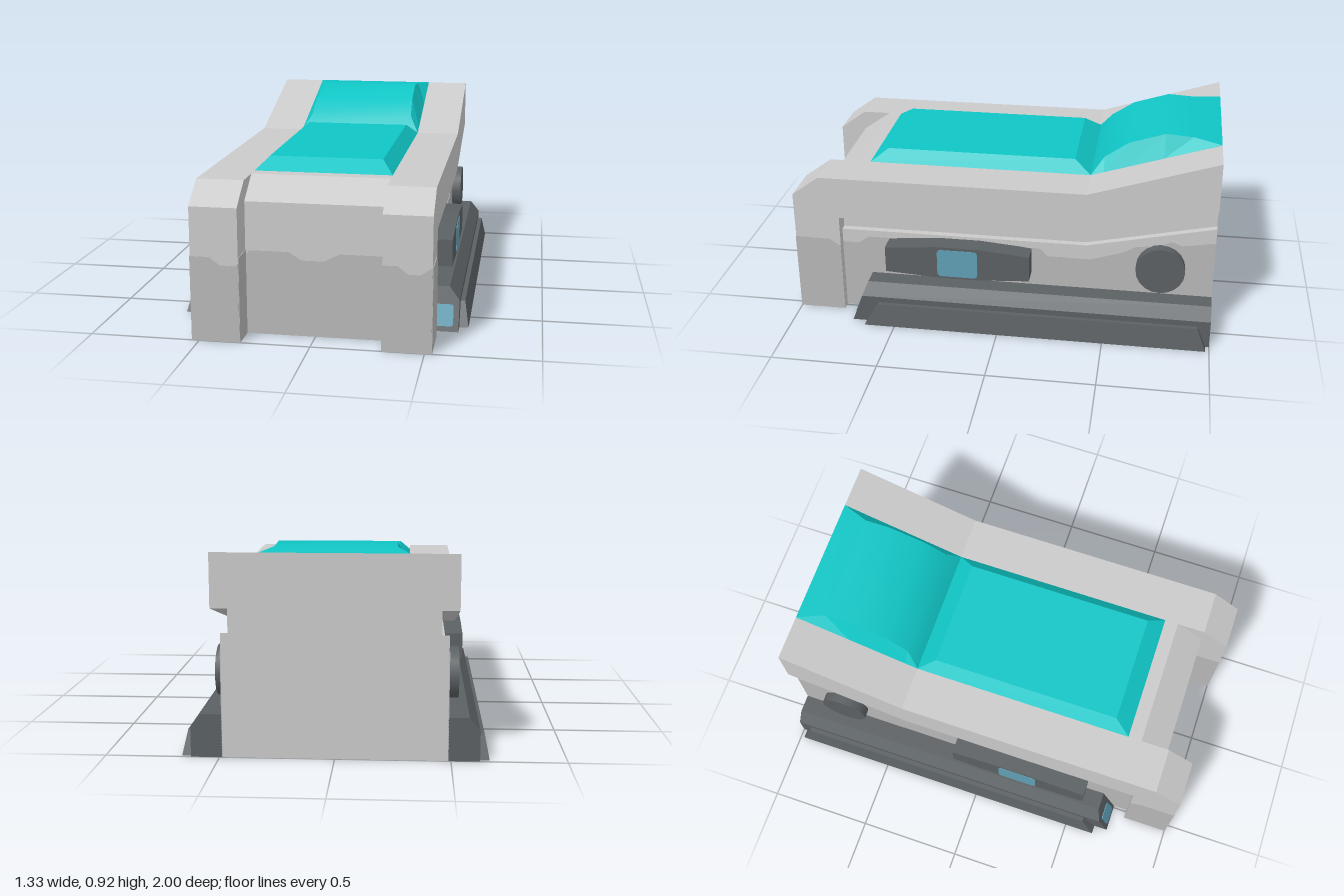
import * as THREE from 'three';

const mat = (name, color) => Object.assign(new THREE.MeshStandardMaterial({ color }), { name });

export function createModel() {
  const root = new THREE.Group();
  root.name = 'hoverCraft';
  const hull = mat('light grey hull', 0xcacaca);
  const paint = mat('mid grey paint', 0xb7b7b7);
  const metal = mat('dark metal', 0x5b6063);
  const teal = mat('teal canopy', 0x10c5c5);
  const glow = mat('blue lamp', 0x5f9fb5);

  const add = (name, geometry, material) => {
    const mesh = new THREE.Mesh(geometry, material);
    mesh.name = name;
    root.add(mesh);
    return mesh;
  };
  const extrude = (pts, depth) => new THREE.ExtrudeGeometry(
    new THREE.Shape(pts.map(([x, y]) => new THREE.Vector2(x, y))), { depth, bevelEnabled: false });

  // Slab with a [z, y] outline, running from x0 to x1
  const slab = (pts, x0, x1) =>
    extrude(pts.map(([z, y]) => [-z, y]), x1 - x0).rotateY(Math.PI / 2).translate(x0, 0, 0);
  // The same slab on either side of the model
  const sideSlab = (pts, a, b, s) => (s > 0 ? slab(pts, a, b) : slab(pts, -b, -a));

  // Closes a wavy paint edge down to the ground
  const toGround = (wave) => [...wave, [wave[wave.length - 1][0], 0], [wave[0][0], 0]];

  const lampShape = (w, h, r) => {
    const s = new THREE.Shape();
    s.absarc(w / 2 - r, h / 2 - r, r, 0, Math.PI / 2);
    s.absarc(r - w / 2, h / 2 - r, r, Math.PI / 2, Math.PI);
    s.absarc(r - w / 2, r - h / 2, r, Math.PI, Math.PI * 1.5);
    s.absarc(w / 2 - r, r - h / 2, r, Math.PI * 1.5, Math.PI * 2);
    return new THREE.ExtrudeGeometry(s, { depth: 0.004, bevelEnabled: false, curveSegments: 3 });
  };

  // Central hull
  add('centreHull', slab([[0.87, 0], [0.87, 0.61], [0.735, 0.705], [-0.4, 0.705],
    [-1, 0.895], [-1, 0]], -0.315, 0.315), hull);

  // Painted lower front, one plate for each rail and the centre
  const frontWaves = [
    ['rightRailPaint', 1, [[-0.53, 0.388], [-0.447, 0.388], [-0.397, 0.352], [-0.322, 0.352], [-0.315, 0.362]]],
    ['centrePaint', 0.87, [[-0.315, 0.362], [-0.297, 0.388], [-0.12, 0.388], [-0.06, 0.352],
      [0.04, 0.352], [0.11, 0.388], [0.315, 0.388]]],
    ['leftRailPaint', 1, [[0.315, 0.388], [0.38, 0.388], [0.425, 0.352], [0.48, 0.352], [0.53, 0.388]]],
  ];
  for (const [name, z, wave] of frontWaves)
    add(name, extrude(toGround(wave), 0.003).translate(0, 0, z), paint);

  for (const s of [1, -1]) {
    const side = s > 0 ? 'left' : 'right';

    // Side rail, with a groove and a recessed lower panel
    add(side + 'Rail', sideSlab([[1, 0], [1, 0.61], [0.87, 0.705], [-0.4, 0.705], [-1, 0.895],
      [-1, 0.655], [-0.4, 0.5], [0.78, 0.5], [0.78, 0]], 0.315, 0.53, s), hull);
    add(side + 'Groove', sideSlab([[0.78, 0.5], [-0.4, 0.5], [-1, 0.655], [-1, 0.55],
      [-0.4, 0.42], [0.78, 0.42]], 0.315, 0.455, s), hull);
    add(side + 'LowerPanel', sideSlab([[0.78, 0], [0.78, 0.42], [-0.4, 0.42], [-1, 0.55],
      [-1, 0]], 0.315, 0.487, s), hull);

    // Painted lower sides
    add(side + 'RailSidePaint', sideSlab(toGround([[1, 0.388], [0.837, 0.385], [0.79, 0.355],
      [0.78, 0.353]]), 0.53, 0.533, s), paint);
    add(side + 'RailInnerPaint', sideSlab(toGround([[1, 0.388], [0.87, 0.388]]), 0.312, 0.315, s), paint);
    add(side + 'PanelPaint', sideSlab(toGround([[0.78, 0.353], [0.7, 0.353], [0.65, 0.388],
      [-0.18, 0.388], [-0.218, 0.35], [-0.42, 0.348], [-0.475, 0.365], [-0.58, 0.4], [-0.635, 0.432],
      [-0.743, 0.444], [-0.796, 0.47], [-0.85, 0.452], [-1, 0.478]]), 0.487, 0.49, s), paint);

    // Side pod with lamp
    add(side + 'Pod', sideSlab([[0.548, 0.257], [0.548, 0.385], [0.296, 0.406], [0.103, 0.406],
      [-0.143, 0.385], [-0.143, 0.257], [0.103, 0.242], [0.296, 0.242]], 0.48, 0.58, s), metal);
    add(side + 'PodLamp', lampShape(0.193, 0.14, 0.018).rotateY(s * Math.PI / 2)
      .translate(s * 0.579, 0.322, 0.2), glow);

    // Round side disc
    add(side + 'Disc', new THREE.CylinderGeometry(0.115, 0.115, 0.056, 20).rotateZ(Math.PI / 2)
      .translate(s * 0.508, 0.335, -0.753), metal);

    // Skid, its front end raked back
    const skid = extrude([[0.487, 0], [0.625, 0], [0.625, 0.135], [0.578, 0.192], [0.487, 0.192]]
      .map(([x, y]) => [s * x, y]), 1.712).translate(0, 0, -1);
    const p = skid.attributes.position;
    for (let i = 0; i < p.count; i++)
      if (p.getZ(i) > 0) p.setZ(i, 0.712 - 0.375 * p.getY(i));
    skid.computeVertexNormals();
    add(side + 'Skid', skid, metal);

    // Tapered outer skid strip
    const strip = new THREE.BoxGeometry(0.08, 0.107, 1);
    const q = strip.attributes.position;
    for (let i = 0; i < q.count; i++) {
      const top = q.getY(i) > 0, outer = q.getX(i) * s > 0, front = q.getZ(i) > 0;
      q.setXYZ(i, s * (outer ? (top ? 0.646 : 0.667) : 0.6), top ? 0.107 : 0,
        front ? (top ? 0.58 : 0.645) : (top ? -0.94 : -0.983));
    }
    strip.computeVertexNormals();
    add(side + 'SkidStrip', strip, metal);

    // Lamp on the raked skid front
    add(side + 'SkidLamp', lampShape(0.09, 0.1, 0.013).rotateX(-Math.atan(0.375))
      .translate(s * 0.555, 0.069, 0.686), glow);
  }

  // Front canopy, a bevelled slab
  const front = new THREE.BoxGeometry(0.63, 0.055, 1.07).translate(0, 0.7325, 0.135);
  const f = front.attributes.position;
  for (let i = 0; i < f.count; i++)
    if (f.getY(i) > 0.74) {
      f.setX(i, Math.sign(f.getX(i)) * 0.262);
      f.setZ(i, f.getZ(i) > 0 ? 0.59 : -0.32);
    }
  front.computeVertexNormals();
  add('frontCanopy', front, teal);

  // Rear canopy, sections given as [z, top height, top half width]
  const sections = [[-0.4, 0.705, 0.315], [-0.46, 0.785, 0.27], [-0.57, 0.86, 0.265],
    [-0.74, 0.915, 0.262], [-0.87, 0.907, 0.265], [-1, 0.896, 0.315]];
  const slopeY = (z) => 0.705 + (-0.4 - z) * 0.19 / 0.6;
  const top = [], topIndex = [], sides = [];
  sections.forEach(([z, y, x], i) => {
    top.push(-x, y, z, x, y, z);
    if (i === 0) return;
    const a = 2 * i - 2;
    topIndex.push(a, a + 1, a + 3, a, a + 3, a + 2);
    const [z0, y0, x0] = sections[i - 1];
    for (const s of [1, -1]) {
      const b0 = [s * 0.315, slopeY(z0), z0], b1 = [s * 0.315, slopeY(z), z];
      const t0 = [s * x0, y0, z0], t1 = [s * x, y, z];
      const tris = s > 0 ? [b0, b1, t1, b0, t1, t0] : [b0, t1, b1, b0, t0, t1];
      sides.push(...tris.flat());
    }
  });
  const topGeo = new THREE.BufferGeometry();
  topGeo.setAttribute('position', new THREE.Float32BufferAttribute(top, 3));
  topGeo.setIndex(topIndex);
  topGeo.computeVertexNormals();
  add('rearCanopyTop', topGeo, teal);
  const sideGeo = new THREE.BufferGeometry();
  sideGeo.setAttribute('position', new THREE.Float32BufferAttribute(sides, 3));
  sideGeo.computeVertexNormals();
  add('rearCanopySides', sideGeo, teal);

  return root;
}
